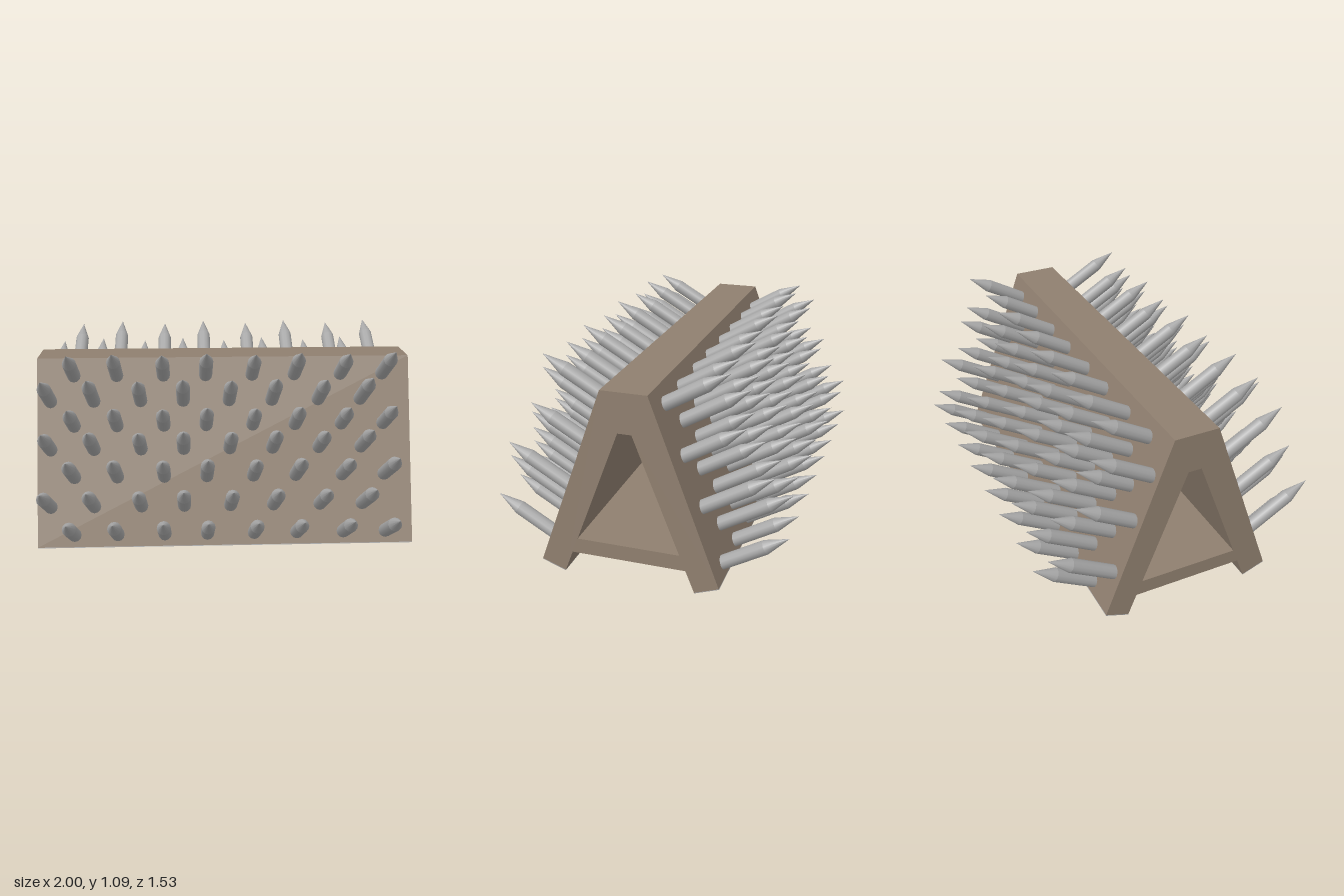
import * as THREE from 'three';
import { mergeGeometries } from 'three/addons/utils/BufferGeometryUtils.js';

export function createModel() {
  const model = new THREE.Group();
  model.name = 'spikedBarricade';
  const wood = new THREE.MeshStandardMaterial({ name: 'weathered wood', color: 0x8f7f6f });
  const metal = new THREE.MeshStandardMaterial({ name: 'grey steel', color: 0xa8a8a8 });

  const add = (name, geometry, material, parent = model) => {
    const mesh = new THREE.Mesh(geometry, material);
    mesh.name = name;
    parent.add(mesh);
    return mesh;
  };

  // A-shaped frame, one profile extruded along x
  const half = [[0.117, 1], [0.46, 0.052], [0.337, 0.007], [0.035, 0.795]];
  const outline = [...half, ...half.map(([z, y]) => [-z, y]).reverse()];
  const shape = new THREE.Shape(outline.map(([z, y]) => new THREE.Vector2(z, y)));
  const frame = new THREE.ExtrudeGeometry(shape, { depth: 2, bevelEnabled: false });
  frame.translate(0, 0, -1).rotateY(Math.PI / 2);
  add('frame', frame, wood);

  // Shelf tying the two legs together
  const shelfShape = new THREE.Shape([
    [-0.295, 0.12], [0.295, 0.12], [0.264, 0.2], [-0.264, 0.2],
  ].map(([z, y]) => new THREE.Vector2(z, y)));
  const shelf = new THREE.ExtrudeGeometry(shelfShape, { depth: 2, bevelEnabled: false });
  shelf.translate(0, 0, -1).rotateY(Math.PI / 2);
  add('shelf', shelf, wood);

  // Thin steel faces under the feet
  for (const s of [1, -1]) {
    const foot = add('footPlate', new THREE.BoxGeometry(2, 0.004, 0.131), metal);
    foot.position.set(0, 0.028, s * 0.399);
    foot.rotation.x = -s * 0.35;
  }

  // Spike with its tip at the origin, pointing along +y
  const R = 0.036, CONE = 0.13, LENGTH = 0.45;
  const spike = mergeGeometries([
    new THREE.ConeGeometry(R, CONE, 12, 1, true).translate(0, -CONE / 2, 0),
    new THREE.CylinderGeometry(R, R, LENGTH - CONE, 12).translate(0, -(LENGTH + CONE) / 2, 0),
  ]);

  // Tip positions [z, y] of the seven rows, top to bottom
  const rows = [
    [0.465, 1.093], [0.533, 0.977], [0.545, 0.833], [0.61, 0.728],
    [0.685, 0.603], [0.75, 0.463], [0.763, 0.3],
  ];
  // Columns alternate between three spikes (odd rows) and four (even rows)
  const columns = [-0.93, -0.805, -0.7, -0.577, -0.45, -0.327, -0.222, -0.1];
  const xs = [...columns, ...columns.map((x) => x + 0.955)];

  for (const s of [1, -1]) {
    const side = new THREE.Group();
    side.name = s > 0 ? 'frontSpikes' : 'backSpikes';
    model.add(side);
    xs.forEach((x, c) => {
      rows.forEach(([z, y], r) => {
        if (r % 2 === c % 2) return;
        // Every second pair of columns sits slightly shorter
        const pull = c % 4 < 2 && r < 6 ? 0.022 : 0;
        const mesh = add('spike', spike, metal, side);
        mesh.position.set(x, y - pull * 0.5, s * (z - pull * 0.866));
        mesh.rotation.x = s * Math.PI / 3;
      });
    });
  }
  return model;
}
